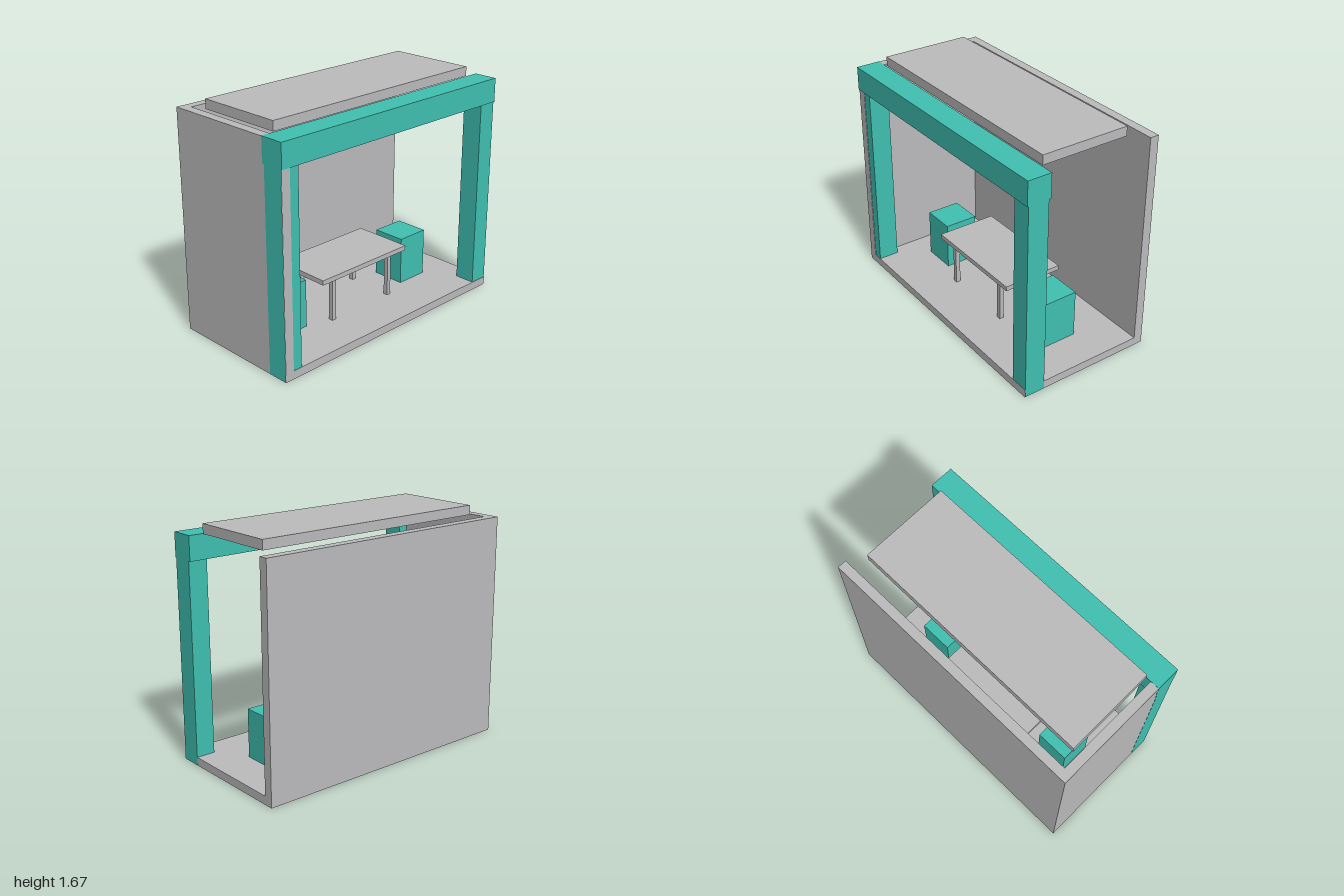
import * as THREE from 'three';

export function createModel() {
  const model = new THREE.Group();
  const grey = new THREE.MeshStandardMaterial({ name: 'panelGrey', color: 0xbcbcbe });
  const teal = new THREE.MeshStandardMaterial({ name: 'accentTeal', color: 0x40c1b2 });

  // Box from its minimum and maximum along each axis
  function box(name, material, [x0, x1], [y0, y1], [z0, z1], parent = model) {
    const mesh = new THREE.Mesh(new THREE.BoxGeometry(x1 - x0, y1 - y0, z1 - z0), material);
    mesh.position.set((x0 + x1) / 2, (y0 + y1) / 2, (z0 + z1) / 2);
    mesh.name = name;
    parent.add(mesh);
    return mesh;
  }

  const floorTop = 0.06, wallTop = 1.6;

  // Booth shell: open at the front and on the +x side
  box('floor', grey, [-1, 1], [0, floorTop], [-0.503, 0.498]);
  box('backWall', grey, [-1, 1], [floorTop, wallTop], [-0.503, -0.437]);
  box('sideWall', grey, [-1, -0.933], [floorTop, wallTop], [-0.437, 0.498]);

  // Front frame, set a hair proud of the shell at the sides
  box('rightPost', teal, [-1.001, -0.863], [0.001, 1.43], [0.344, 0.495]);
  box('leftPost', teal, [0.863, 1.001], [0.001, 1.43], [0.344, 0.495]);
  box('headerBeam', teal, [-1.001, 1.001], [1.43, 1.602], [0.328, 0.503]);

  // Raised ceiling panel
  box('roofPanel', grey, [-0.9, 0.9], [1.602, 1.67], [-0.33, 0.32]);

  // Table
  const table = new THREE.Group();
  table.name = 'table';
  model.add(table);
  box('tableTop', grey, [-0.41, 0.41], [0.38, 0.415], [-0.228, 0.222], table);
  for (const x of [-0.278, 0.274]) {
    for (const z of [-0.178, 0.174]) {
      box('tableLeg', grey, [x - 0.016, x + 0.016], [floorTop, 0.38], [z - 0.017, z + 0.017], table);
    }
  }

  // Block stools at either end of the table
  for (const x of [-0.602, 0.6]) {
    box('stool', teal, [x - 0.125, x + 0.125], [floorTop, 0.412], [-0.126, 0.124]);
  }

  return model;
}
